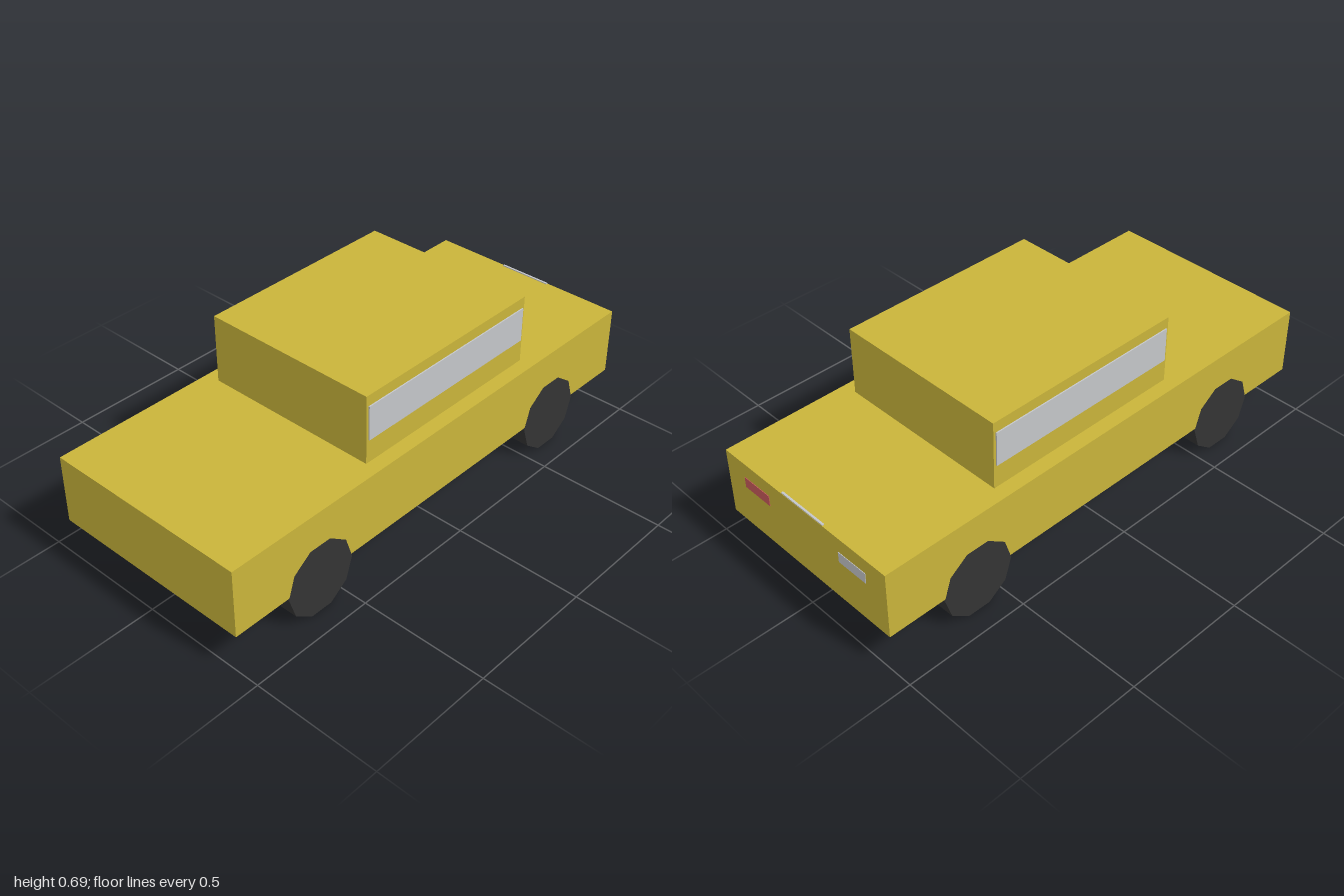
import * as THREE from 'three';

const flat = (name, color) => {
  const m = new THREE.MeshStandardMaterial({ color });
  m.name = name;
  return m;
};

export function createModel() {
  const car = new THREE.Group();
  car.name = 'car';

  const paint = flat('yellow paint', 0xc9b43a);
  const rubber = flat('dark rubber', 0x333333);
  const silver = flat('silver grey', 0xc4c6c9);
  const red = flat('red lamp', 0xc95b5b);

  // Box given by its lower and upper corners
  function box(name, material, [x0, y0, z0], [x1, y1, z1]) {
    const mesh = new THREE.Mesh(new THREE.BoxGeometry(x1 - x0, y1 - y0, z1 - z0), material);
    mesh.position.set((x0 + x1) / 2, (y0 + y1) / 2, (z0 + z1) / 2);
    mesh.name = name;
    car.add(mesh);
  }

  // Bodywork
  box('body', paint, [-1, 0.15, -0.413], [0.998, 0.42, 0.413]);
  box('cabin', paint, [-0.34, 0.42, -0.356], [0.49, 0.69, 0.356]);

  // Side windows
  box('leftWindow', silver, [-0.33, 0.513, 0.355], [0.48, 0.648, 0.361]);
  box('rightWindow', silver, [-0.33, 0.513, -0.361], [0.48, 0.648, -0.355]);

  // Lamps and the thin plate on the +x end
  box('redLamp', red, [0.994, 0.317, 0.182], [1, 0.36, 0.315]);
  box('clearLamp', silver, [0.994, 0.317, -0.314], [1, 0.36, -0.181]);
  box('endPlate', silver, [0.989, 0.38, -0.107], [0.997, 0.424, 0.107]);

  // Ten-sided disc with its axis along z and flats at top and bottom
  function disc(name, material, radius, width, z) {
    const geometry = new THREE.CylinderGeometry(radius, radius, width, 10)
      .rotateY(Math.PI / 2)
      .rotateX(Math.PI / 2)
      .toNonIndexed();
    geometry.computeVertexNormals();
    const mesh = new THREE.Mesh(geometry, material);
    mesh.position.z = z;
    mesh.name = name;
    return mesh;
  }

  // Wheels, with hubs showing on their inner sides
  for (const x of [-0.62, 0.62]) {
    for (const side of [-1, 1]) {
      const wheel = new THREE.Group();
      wheel.name = (x > 0 ? 'positiveEnd' : 'negativeEnd') + (side > 0 ? 'LeftWheel' : 'RightWheel');
      wheel.add(disc('tyre', rubber, 0.148, 0.104, side * 0.362));
      wheel.add(disc('hub', silver, 0.077, 0.09, side * 0.351));
      wheel.position.set(x, 0.1408, 0);
      car.add(wheel);
    }
  }

  return car;
}
